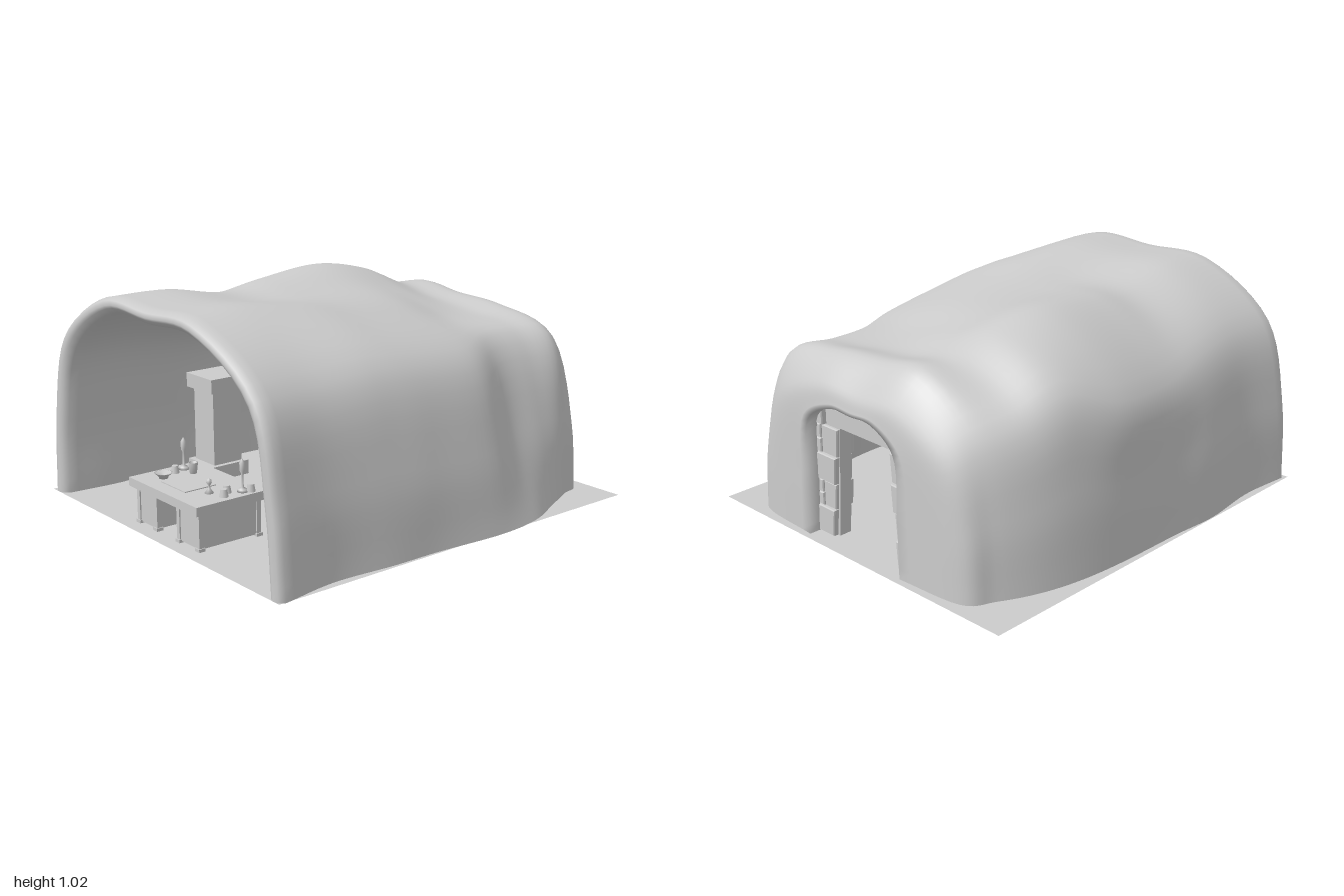
import * as THREE from 'three';
import { RoundedBoxGeometry } from 'three/addons/geometries/RoundedBoxGeometry.js';

const grey = new THREE.MeshStandardMaterial({ color: 0xcccccc });
const greyThin = new THREE.MeshStandardMaterial({ color: 0xcccccc, side: THREE.DoubleSide });

function add(parent, name, geometry, x = 0, y = 0, z = 0, material = grey) {
  const mesh = new THREE.Mesh(geometry, material);
  mesh.name = name;
  mesh.position.set(x, y, z);
  parent.add(mesh);
  return mesh;
}

// Box given by its extents
function block(parent, name, x0, x1, y0, y1, z0, z1) {
  return add(parent, name, new THREE.BoxGeometry(x1 - x0, y1 - y0, z1 - z0),
    (x0 + x1) / 2, (y0 + y1) / 2, (z0 + z1) / 2);
}

// Turned part from [radius, height] pairs
function turned(parent, name, profile, x, y, z) {
  return add(parent, name, new THREE.LatheGeometry(profile.map(p => new THREE.Vector2(...p)), 16),
    x, y, z, greyThin);
}

const outline = (corners, Type = THREE.Shape) => new Type(corners.map(c => new THREE.Vector2(...c)));

// Cave arches from front to back:
// [z, left width, right width, left shoulder x, y, top left y, top right y, right shoulder x, y, right flank x]
const ARCHES = [
  [0.97, 0.88, 0.88, 0.74, 0.77, 1.0, 1.0, 0.74, 0.77, 0.845],
  [0.7, 0.86, 0.84, 0.73, 0.77, 1.0, 1.005, 0.71, 0.77, 0.82],
  [0.4, 0.89, 0.86, 0.76, 0.74, 0.95, 0.98, 0.71, 0.79, 0.83],
  [0.15, 0.875, 0.865, 0.8, 0.7, 0.98, 0.94, 0.71, 0.77, 0.84],
  [-0.2, 0.865, 0.89, 0.82, 0.72, 1.015, 0.89, 0.67, 0.74, 0.83],
  [-0.45, 0.84, 0.86, 0.74, 0.8, 0.98, 0.84, 0.53, 0.77, 0.72],
  [-0.65, 0.79, 0.775, 0.68, 0.72, 0.89, 0.82, 0.52, 0.77, 0.69],
  [-0.82, 0.71, 0.7, 0.6, 0.66, 0.875, 0.84, 0.57, 0.75, 0.67],
  [-0.94, 0.62, 0.64, 0.5, 0.58, 0.74, 0.74, 0.49, 0.62, 0.61],
  [-0.97, 0.29, 0.3, 0.27, 0.56, 0.65, 0.65, 0.27, 0.56, 0.29],
];

function archPoints([z, L, R, lx, ly, tl, tr, rx, ry, flank]) {
  return [
    [-L, 0], [-(L * 0.8 + lx * 0.2), ly * 0.5], [-lx, ly], [-lx * 0.5, tl],
    [(rx * 0.43 - lx * 0.5) / 2, (tl + tr) / 2], [rx * 0.43, tr], [rx, ry], [flank, ry * 0.48], [R, 0],
  ].map(([x, y]) => new THREE.Vector3(x, y, z));
}

// Thick cave shell: one sheet running inside, round the lip, outside and back through the doorway
function caveGeometry() {
  const across = 48, along = 54;
  const arches = ARCHES.map(archPoints);
  const rails = arches[0].map((_, j) =>
    new THREE.CatmullRomCurve3(arches.map(a => a[j]), false, 'catmullrom', 0.5));
  const outer = [];
  for (let i = 0; i <= along; i++) {
    const curve = new THREE.CatmullRomCurve3(rails.map(r => r.getPoint(i / along)), false, 'centripetal');
    const ring = [];
    for (let j = 0; j <= across; j++) {
      const p = curve.getPoint(j / across);
      p.y = j % across === 0 ? 0 : Math.max(0, p.y);
      ring.push(p);
    }
    outer.push(ring);
  }
  // walls thicken towards the back and thin out again at the doorway
  const inner = outer.map((ring, i) => {
    const jamb = THREE.MathUtils.clamp((along - i) / 6, 0, 1);
    return ring.map(p => {
      const back = THREE.MathUtils.smoothstep(-p.z, 0, 0.8);
      return new THREE.Vector3(p.x * (1 - (0.1 + 0.03 * back) * jamb), p.y * (1 - (0.065 + 0.09 * back) * jamb),
        p.z < -0.82 ? -0.82 + (p.z + 0.82) * 0.6 : p.z);
    });
  });
  const lip = [[0.925, 0.955, 0.992], [0.95, 0.967, 1], [0.98, 0.987, 0.996]].map(([sx, sy, z]) =>
    outer[0].map(p => new THREE.Vector3(p.x * sx, p.y * sy, z)));
  const rings = [...inner.slice().reverse(), ...lip, ...outer, inner[along]];

  const positions = rings.flat().flatMap(p => [p.x, p.y, p.z]);
  const index = [], w = across + 1;
  for (let i = 0; i < rings.length - 1; i++) {
    for (let j = 0; j < across; j++) {
      const a = i * w + j;
      index.push(a, a + 1, a + w, a + 1, a + w + 1, a + w);
    }
  }
  const geometry = new THREE.BufferGeometry();
  geometry.setAttribute('position', new THREE.Float32BufferAttribute(positions, 3));
  geometry.setIndex(index);
  geometry.computeVertexNormals();
  return geometry;
}

// Masonry surround: leaning jamb stones, stepped outer stones, lintel and top course
function doorway() {
  const group = new THREE.Group();
  group.name = 'stoneDoorway';
  const stone = (corners, z, depth) => add(group, 'doorStone', new THREE.ExtrudeGeometry(outline(corners),
    { depth: depth - 0.012, bevelThickness: 0.006, bevelSize: 0.003, bevelSegments: 1 }), 0, 0, z);
  const gap = 0.005;
  const rows = [0, 0.13, 0.255, 0.385, 0.52, 0.645];
  const ends = [0.415, 0.395, 0.42, 0.41, 0.365];
  for (const s of [-1, 1]) {
    const edge = y => s * (0.215 - y * 0.085) - 0.01;
    const quad = (a0, a1, b, y0, y1, z) => {
      const c = [[a0, y0], [b, y0], [b, y1], [a1, y1]];
      stone(s > 0 ? c : c.reverse(), z, 0.1);
    };
    for (let i = 0; i < 5; i++) {
      const y0 = rows[i] + gap, y1 = rows[i + 1] - gap, mid = (y0 + y1) / 2;
      const split = s * (i % 2 ? 0.265 : 0.31), start = split + s * gap;
      const end = s * ends[i] - (s > 0 ? 0.015 : 0);
      const top = i === 4 ? 0.25 * s : 0;
      quad(top || edge(y0), top || edge(y1), split - s * gap, y0, y1, -0.91 + (i % 2) * 0.01);
      if (i % 2 === 0) {
        quad(start, start, end, y0, y1, -0.91);
      } else {
        // course of two thinner stones
        quad(start, start, end, y0, mid - gap, -0.905);
        quad(start, start, end - s * 0.025, mid + gap, y1, -0.905);
      }
    }
  }
  stone([[-0.24, 0.535], [0.22, 0.535], [0.23, 0.612], [-0.245, 0.612]], -0.9, 0.11);
  stone([[-0.235, 0.62], [0.22, 0.62], [0.22, 0.632], [-0.235, 0.632]], -0.9, 0.1);
  const joints = [-0.34, -0.25, -0.11, 0.1, 0.21, 0.31];
  for (let i = 0; i < joints.length - 1; i++) {
    const a = joints[i] + gap, b = joints[i + 1] - gap;
    stone([[a, 0.64], [b, 0.64], [b - 0.005, 0.695], [a + 0.005, 0.695]], -0.91, 0.1);
  }
  // recessed mortar behind the joints
  add(group, 'mortar', new THREE.ExtrudeGeometry(outline([[-0.36, 0], [-0.21, 0], [-0.172, 0.55], [0.152, 0.55],
    [0.19, 0], [0.35, 0], [0.34, 0.62], [0.28, 0.68], [-0.3, 0.68], [-0.35, 0.62]].reverse()),
  { depth: 0.06, bevelEnabled: false }), 0, 0, -0.89);
  return group;
}

// Desk with two pedestals and small things on top
function desk() {
  const group = new THREE.Group();
  group.name = 'desk';
  block(group, 'deskTop', -0.28, 0.25, 0.165, 0.205, 0.59, 0.95);
  for (const [x0, x1] of [[-0.25, -0.09], [0.065, 0.235]]) {
    block(group, 'deskPedestal', x0 + 0.006, x1 - 0.006, 0.008, 0.165, 0.616, 0.924);
    for (const x of [x0, x1 - 0.022]) {
      for (const z of [0.61, 0.908]) {
        block(group, 'deskLeg', x, x + 0.022, 0, 0.165, z, z + 0.022);
        block(group, 'deskFoot', x - 0.005, x + 0.027, 0, 0.014, z - 0.005, z + 0.027);
      }
    }
  }
  block(group, 'paperSheet', -0.13, 0.06, 0.205, 0.209, 0.72, 0.88);
  turned(group, 'bowl', [[0, 0], [0.02, 0], [0.022, 0.008], [0.04, 0.025], [0.036, 0.025], [0, 0.01]], -0.17, 0.205, 0.84);
  turned(group, 'cup', [[0, 0], [0.016, 0], [0.022, 0.05], [0.018, 0.05], [0, 0.01]], -0.145, 0.205, 0.7);
  const candle = [[0, 0], [0.024, 0], [0.02, 0.012], [0.006, 0.02], [0.005, 0.08], [0.012, 0.095],
    [0.012, 0.13], [0, 0.15]];
  turned(group, 'candlestick', candle, -0.22, 0.205, 0.7);
  turned(group, 'candlestick', candle, 0.2, 0.205, 0.68);
  turned(group, 'handBell', [[0, 0], [0.02, 0], [0.006, 0.02], [0.004, 0.035], [0.012, 0.045], [0.01, 0.06], [0, 0.066]],
    0.125, 0.205, 0.8);
  for (const [x, z] of [[0.17, 0.74], [0.205, 0.78], [0.22, 0.65], [-0.2, 0.76]]) {
    add(group, 'inkPot', new THREE.CylinderGeometry(0.014, 0.02, 0.034, 10), x, 0.222, z);
  }
  return group;
}

// Square pillar with plinth and capital
function pillar() {
  const group = new THREE.Group();
  group.name = 'pillar';
  block(group, 'plinth', -0.705, -0.495, 0, 0.07, 0.145, 0.355);
  block(group, 'shaft', -0.68, -0.52, 0.07, 0.435, 0.17, 0.33);
  block(group, 'capital', -0.705, -0.495, 0.435, 0.505, 0.145, 0.355);
  return group;
}

// Low pedestal carrying a rounded slab and a tilted frame above it
function framedPedestal() {
  const group = new THREE.Group();
  group.name = 'framedPedestal';
  block(group, 'pedestalBase', -0.64, -0.45, 0, 0.06, -0.49, -0.3);
  block(group, 'pedestalShaft', -0.62, -0.465, 0.06, 0.125, -0.475, -0.315);
  add(group, 'slab', new RoundedBoxGeometry(0.13, 0.245, 0.04, 3, 0.018), -0.515, 0.248, -0.43);
  const frame = outline([[-0.06, -0.09], [0.05, -0.1], [0.075, 0.1], [-0.075, 0.09]]);
  frame.holes.push(outline([[-0.042, -0.07], [0.035, -0.08], [0.055, 0.08], [-0.055, 0.07]], THREE.Path));
  const frameMesh = add(group, 'wallFrame', new THREE.ExtrudeGeometry(frame,
    { depth: 0.02, bevelThickness: 0.006, bevelSize: 0.006, bevelSegments: 2 }), -0.535, 0.48, -0.45);
  add(frameMesh, 'framePanel', new RoundedBoxGeometry(0.11, 0.16, 0.012, 2, 0.005));
  frameMesh.rotation.y = 0.2;
  return group;
}

export function createModel() {
  const model = new THREE.Group();
  model.name = 'cave';
  const floor = add(model, 'floor', new THREE.PlaneGeometry(1.77, 2), -0.01, 0, 0, greyThin);
  floor.rotation.x = -Math.PI / 2;
  add(model, 'caveShell', caveGeometry());
  model.add(doorway(), desk(), pillar(), framedPedestal());

  // Leaning torch
  const torch = turned(model, 'torch', [[0, 0], [0.012, 0], [0.012, 0.19], [0.02, 0.2], [0.022, 0.225],
    [0.032, 0.245], [0.03, 0.275], [0, 0.29]], -0.565, 0.08, 0.02);
  torch.rotation.z = -0.3;
  return model;
}
